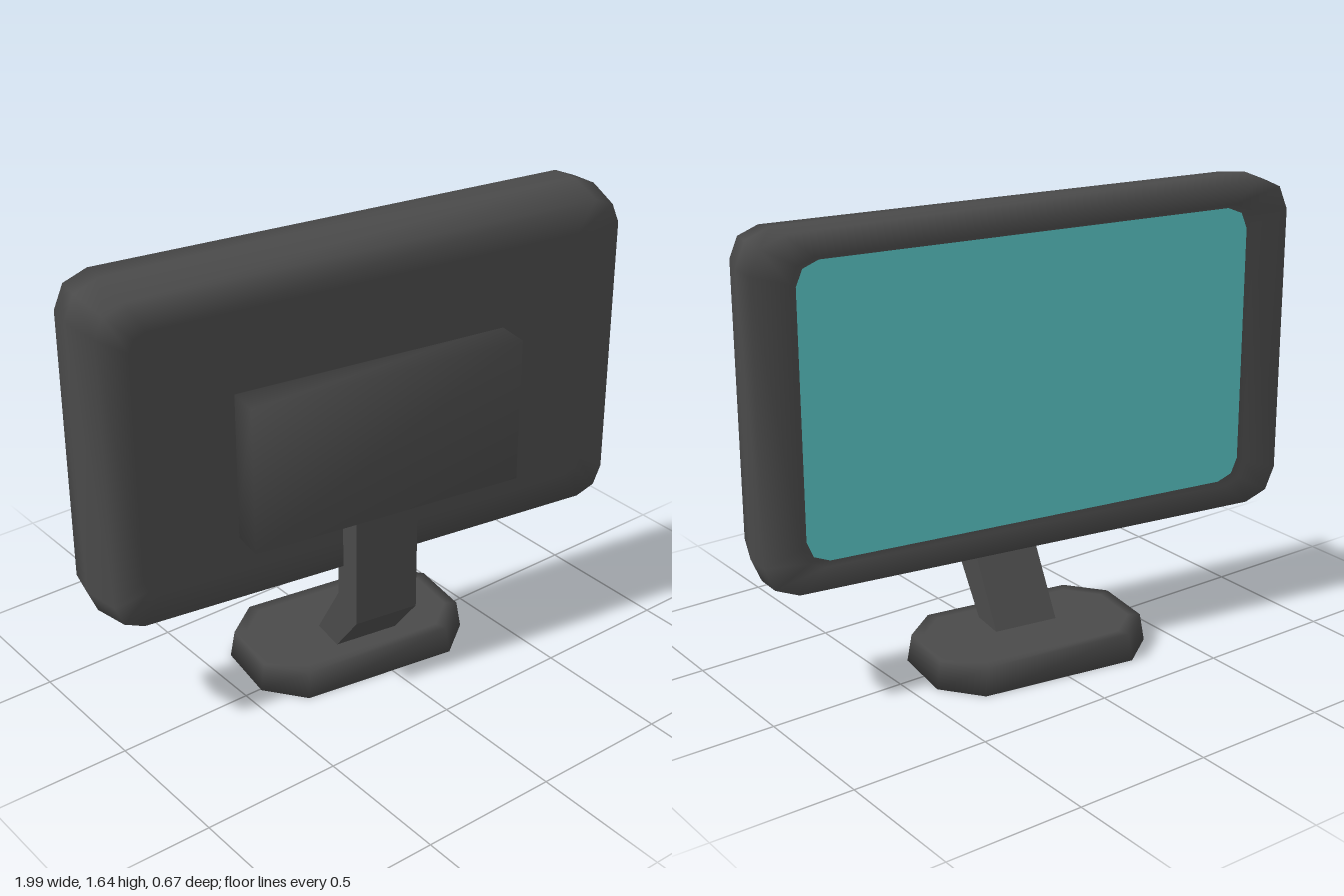
import * as THREE from 'three';
import { mergeVertices } from 'three/addons/utils/BufferGeometryUtils.js';

const dark = new THREE.MeshStandardMaterial({ color: 0x4a4a4a });
const teal = new THREE.MeshStandardMaterial({ color: 0x5bc8c8 });

// Rectangle with rounded corners, counter-clockwise, as [x, y] points
function outline(hw, hh, r, segments) {
  const points = [];
  [[1, 1], [-1, 1], [-1, -1], [1, -1]].forEach(([sx, sy], corner) => {
    for (let i = 0; i <= segments; i++) {
      const a = (corner + i / segments) * Math.PI / 2;
      points.push([sx * (hw - r) + r * Math.cos(a), sy * (hh - r) + r * Math.sin(a)]);
    }
  });
  return points;
}

// Smooth capped skin over rings [z, halfWidth, halfHeight, cornerRadius], z going up
function loft(rings, segments) {
  const position = [], index = [], n = 4 * (segments + 1);
  for (const [z, hw, hh, r] of rings) {
    for (const [x, y] of outline(hw, hh, r, segments)) position.push(x, y, z);
  }
  const last = (rings.length - 1) * n, back = rings.length * n, front = back + 1;
  position.push(0, 0, rings[0][0], 0, 0, rings.at(-1)[0]);
  for (let i = 0; i < n; i++) {
    const j = (i + 1) % n;
    for (let k = 0; k < last; k += n) {
      index.push(k + i, k + j, k + n + j, k + i, k + n + j, k + n + i);
    }
    index.push(back, j, i, front, last + i, last + j);
  }
  const geometry = new THREE.BufferGeometry();
  geometry.setAttribute('position', new THREE.Float32BufferAttribute(position, 3));
  geometry.setIndex(index);
  geometry.computeVertexNormals();
  return geometry;
}

// Box whose normals are shared at the corners
function smoothBox(w, h, d) {
  const box = new THREE.BoxGeometry(w, h, d);
  box.deleteAttribute('normal');
  box.deleteAttribute('uv');
  const geometry = mergeVertices(box);
  geometry.computeVertexNormals();
  return geometry;
}

export function createModel() {
  const model = new THREE.Group();
  model.name = 'monitor';
  const add = (name, geometry, material, x, y, z) => {
    const mesh = new THREE.Mesh(geometry, material);
    mesh.name = name;
    mesh.position.set(x, y, z);
    model.add(mesh);
    return mesh;
  };

  // Casing: recessed screen bed, bezel, sides and flat rear face
  add('casing', loft([
    [-0.105, 0.84, 0.505, 0.08],
    [-0.123, 0.86, 0.522, 0.08],
    [-0.125, 0.995, 0.602, 0.118],
    [-0.02, 1.003, 0.6075, 0.12],
    [0.134, 0.967, 0.58, 0.1],
    [0.134, 0.86, 0.47, 0.06],
  ], 2), dark, -0.012, 1.0375, 0);

  // Screen, facing the back of the frame
  const face = new THREE.Shape(outline(0.84, 0.508, 0.08, 2).map(([x, y]) => new THREE.Vector2(x, y)));
  add('screen', new THREE.ShapeGeometry(face), teal, -0.012, 1.0375, -0.108).rotation.y = Math.PI;

  // Mounting block on the rear of the casing
  add('mountingBlock', smoothBox(1.02, 0.532, 0.135), dark, -0.015, 0.957, 0.186);

  // Bent arm, drawn from the side and extruded across
  const profile = new THREE.Shape([
    [0.227, 0.75], [0.1, 0.75], [0.1, 0.33], [-0.063, 0.08], [0.07, 0.08], [0.227, 0.27],
  ].map(([z, y]) => new THREE.Vector2(z, y)));
  const arm = new THREE.ExtrudeGeometry(profile, { depth: 0.24, bevelEnabled: false });
  arm.translate(0, 0, -0.12).rotateY(-Math.PI / 2);
  add('arm', arm, dark, -0.012, 0, 0);

  // Base: octagonal foot, slightly narrower at the top
  const base = loft([
    [0, 0.415, 0.248, 0.125],
    [0.1, 0.4, 0.236, 0.12],
    [0.1, 0.36, 0.196, 0.1],
  ], 1).rotateX(-Math.PI / 2);
  add('base', base, dark, -0.017, 0, -0.048);

  // The whole monitor is turned slightly
  model.rotation.y = -0.155;
  const root = new THREE.Group();
  root.add(model);
  return root;
}
